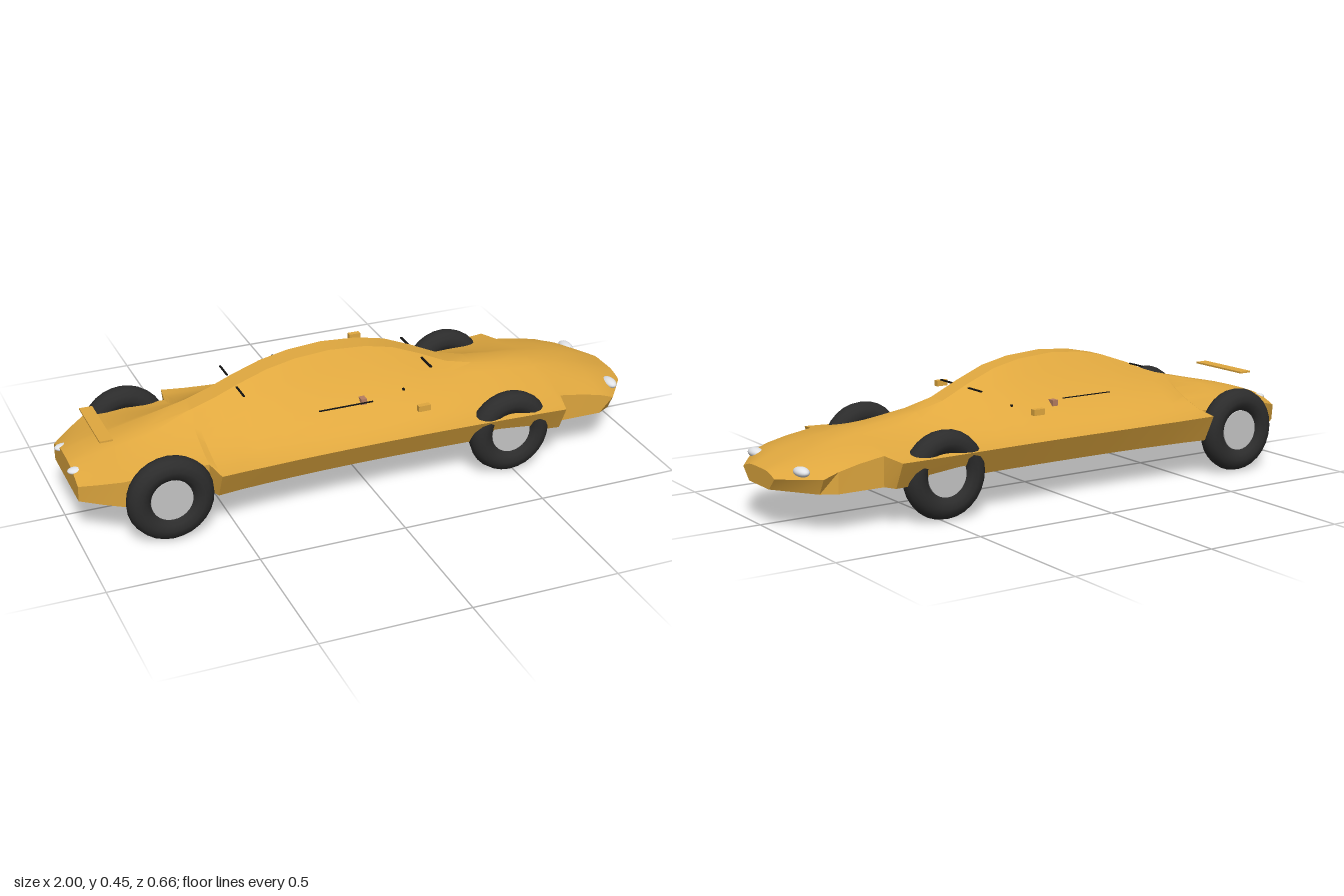
import * as THREE from 'three';
import { toCreasedNormals } from 'three/addons/utils/BufferGeometryUtils.js';

const paint = (name, color) => new THREE.MeshStandardMaterial({ name, color });

// Body stations along x: [x, roof y, shoulder y, shoulder half width, floor half width, roundness]
const STATIONS = [
  [-0.985, 0.218, 0.185, 0.155, 0.15, 0.8],
  [-0.92, 0.24, 0.205, 0.205, 0.2, 0.6],
  [-0.86, 0.256, 0.222, 0.245, 0.24, 0.45],
  [-0.72, 0.287, 0.226, 0.245, 0.24, 0.25],
  [-0.575, 0.321, 0.226, 0.245, 0.24, 0.1],
  [-0.56, 0.325, 0.222, 0.33, 0.285, 0],
  [-0.48, 0.352, 0.219, 0.32, 0.275, 0],
  [-0.4, 0.385, 0.217, 0.314, 0.269, 0],
  [-0.3, 0.42, 0.216, 0.308, 0.263, 0],
  [-0.2, 0.441, 0.215, 0.304, 0.259, 0],
  [-0.08, 0.45, 0.215, 0.302, 0.257, 0],
  [0.05, 0.441, 0.215, 0.302, 0.257, 0],
  [0.15, 0.419, 0.215, 0.303, 0.258, 0],
  [0.25, 0.378, 0.215, 0.305, 0.26, 0],
  [0.35, 0.331, 0.215, 0.308, 0.263, 0.05],
  [0.45, 0.306, 0.215, 0.311, 0.266, 0.1],
  [0.56, 0.29, 0.216, 0.317, 0.272, 0.2],
  [0.67, 0.276, 0.219, 0.328, 0.284, 0.3],
  [0.69, 0.273, 0.23, 0.246, 0.244, 0.5],
  [0.78, 0.257, 0.216, 0.246, 0.244, 0.7],
  [0.85, 0.24, 0.2, 0.246, 0.244, 0.9],
  [0.9, 0.226, 0.182, 0.244, 0.215, 1],
  [0.95, 0.208, 0.176, 0.178, 0.143, 1],
  [1, 0.188, 0.17, 0.11, 0.07, 1],
];

function sectionPoints([x, top, shoulderY, shoulderZ, floorZ, round]) {
  const half = [new THREE.Vector3(x, 0.13, floorZ)];
  const ridge = 0.037, steps = 7;
  for (let i = 0; i <= steps; i++) {
    const t = i / steps;
    const f = (1 - round) * t ** 1.6 + round * (1 - (1 - t) ** 2);
    half.push(new THREE.Vector3(x, shoulderY + (top - shoulderY) * f,
      shoulderZ + (ridge - shoulderZ) * t));
  }
  const other = half.map((p) => new THREE.Vector3(p.x, p.y, -p.z)).reverse();
  return [...half, ...other];
}

// Skin the cross-sections and close both ends
function bodyGeometry() {
  const loops = STATIONS.map(sectionPoints);
  const n = loops[0].length, pos = [];
  const tri = (...pts) => pts.forEach((p) => pos.push(p.x, p.y, p.z));
  for (let i = 0; i < loops.length - 1; i++) {
    for (let j = 0; j < n; j++) {
      const k = (j + 1) % n;
      const a = loops[i][j], b = loops[i][k], c = loops[i + 1][k], d = loops[i + 1][j];
      tri(a, d, c);
      tri(a, c, b);
    }
  }
  const back = loops[0], nose = loops[loops.length - 1];
  for (let j = 1; j < n - 1; j++) {
    tri(back[0], back[j], back[j + 1]);
    tri(nose[0], nose[j + 1], nose[j]);
  }
  const geo = new THREE.BufferGeometry();
  geo.setAttribute('position', new THREE.Float32BufferAttribute(pos, 3));
  return toCreasedNormals(geo, 0.45);
}

export function createModel() {
  const model = new THREE.Group();
  model.name = 'car';
  const gold = paint('gold paint', 0xe0a83f);
  const rubber = paint('black rubber', 0x2c2c2c);
  const metal = paint('grey metal', 0xc4c4c4);
  const glass = paint('lamp white', 0xe8eaee);
  const trim = paint('black trim', 0x111111);
  const brown = paint('mirror brown', 0xb47c60);

  const add = (name, geo, mat, x, y, z, parent = model) => {
    const mesh = new THREE.Mesh(geo, mat);
    mesh.name = name;
    mesh.position.set(x, y, z);
    parent.add(mesh);
    return mesh;
  };
  const box = (name, mat, w, h, d, x, y, z) =>
    add(name, new THREE.BoxGeometry(w, h, d), mat, x, y, z);
  const lamp = (name, rx, ry, rz, x, y, z) =>
    add(name, new THREE.SphereGeometry(1, 20, 12), glass, x, y, z).scale.set(rx, ry, rz);

  add('body', bodyGeometry(), gold, 0, 0, 0);

  // Floating rear wing
  box('rearWing', gold, 0.044, 0.006, 0.25, -0.876, 0.312, 0);

  for (const s of [1, -1]) {
    // Wheels
    for (const [name, x] of [['rearWheel', -0.715], ['frontWheel', 0.485]]) {
      const wheel = new THREE.Group();
      wheel.name = name;
      wheel.position.set(x, 0.147, s * 0.265);
      model.add(wheel);
      add('tyre', new THREE.TorusGeometry(0.106, 0.04, 12, 28), rubber, 0, 0, 0, wheel);
      add('hub', new THREE.CylinderGeometry(0.07, 0.07, 0.044, 28), metal, 0, 0, 0, wheel)
        .rotation.x = Math.PI / 2;
    }

    // Lamps
    lamp('headlight', 0.022, 0.016, 0.038, 0.932, 0.195, s * 0.16);
    lamp('tailLight', 0.03, 0.011, 0.021, -0.97, 0.206, s * 0.084);

    // Mirrors and side boxes
    box('mirror', brown, 0.02, 0.02, 0.032, -0.008, 0.305, s * 0.155);
    box('sideBox', gold, 0.042, 0.02, 0.018, 0.15, 0.316, s * 0.3);
    box('latch', trim, 0.008, 0.008, 0.008, 0.147, 0.308, s * 0.14);

    // Thin black trim rods
    box('doorRod', trim, 0.19, 0.002, 0.007, -0.095, 0.332, s * 0.226);
    box('rearRod', trim, 0.006, 0.004, 0.075, -0.41, 0.38, s * 0.085);
    box('frontRod', trim, 0.008, 0.004, 0.082, 0.255, 0.365, s * 0.085);
  }
  return model;
}
